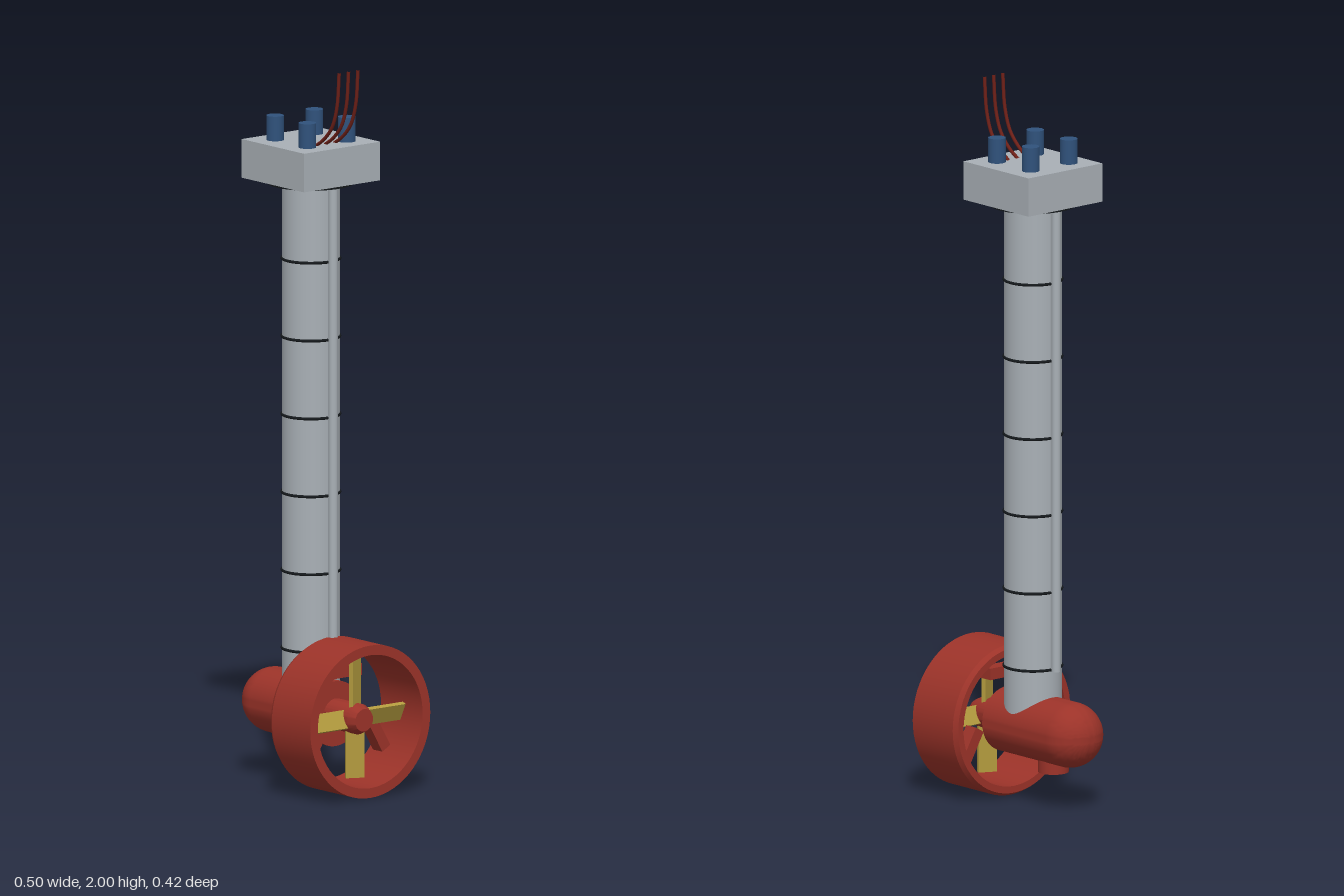
import * as THREE from 'three';
import { toCreasedNormals } from 'three/addons/utils/BufferGeometryUtils.js';

const mat = (name, color) => new THREE.MeshStandardMaterial({ name, color });

export function createModel() {
  const model = new THREE.Group();
  model.name = 'azimuthThruster';
  const red = mat('red paint', 0x9c3329);
  const grey = mat('grey steel', 0xa9b0b6);
  const blue = mat('blue bolts', 0x30527c);
  const black = mat('black seals', 0x15191c);
  const gold = mat('bronze', 0xb39b3e);
  const cableRed = mat('dark red cable', 0x6e2018);

  const CX = -0.006; // column axis
  const AY = 0.214; // propeller axis height

  const add = (name, geo, material, x = 0, y = 0, z = 0, parent = model) => {
    const m = new THREE.Mesh(geo, material);
    m.name = name;
    m.position.set(x, y, z);
    parent.add(m);
    return m;
  };
  const cyl = (r, h, n = 32) => new THREE.CylinderGeometry(r, r, h, n);
  // Surface of revolution about the x axis; points are [x, radius]
  const spin = (name, pts, material) => {
    const geo = new THREE.LatheGeometry(pts.map(([x, r]) => new THREE.Vector2(r, x)), 64);
    const m = add(name, toCreasedNormals(geo, 0.5), material, 0, AY, 0);
    m.rotation.z = -Math.PI / 2;
    return m;
  };

  // Column with seal bands
  add('column', cyl(0.079, 1.45, 48), grey, CX, 0.96);
  for (let i = 0; i < 6; i++) {
    const band = add('columnBand', new THREE.TorusGeometry(0.079, 0.004, 8, 48), black, CX, 0.382 + i * 0.2156);
    band.rotation.x = Math.PI / 2;
  }

  // Side pipes, each on a thin web
  for (const s of [-1, 1]) {
    add('sidePipe', cyl(0.013, 1.3, 16), grey, CX + s * 0.095, 1.03);
    add('pipeWeb', new THREE.BoxGeometry(0.02, 1.3, 0.01), grey, CX + s * 0.082, 1.03);
  }

  // Mounting head
  add('flange', cyl(0.118, 0.012, 48), black, CX, 1.674);
  add('topPlate', new THREE.BoxGeometry(0.267, 0.107, 0.267), grey, CX, 1.731);
  for (const sx of [-1, 1]) for (const sz of [-1, 1])
    add('bolt', cyl(0.024, 0.075, 24), blue, CX + sx * 0.069, 1.815, sz * 0.069);

  // Cables bending upwards
  for (const z of [-0.033, 0, 0.033]) {
    const path = new THREE.CatmullRomCurve3([
      [0.055, 1.783], [0.09, 1.806], [0.125, 1.845], [0.146, 1.905], [0.155, 2.0],
    ].map(([x, y]) => new THREE.Vector3(x, y, z)));
    add('cable', new THREE.TubeGeometry(path, 24, 0.0048, 8), cableRed);
  }

  // Pod with a round nose
  const pod = [];
  for (let i = 0; i <= 16; i++) {
    const a = (i / 16) * Math.PI / 2;
    pod.push([-0.159 - 0.09 * Math.cos(a), 0.09 * Math.sin(a)]);
  }
  pod.push([0.1, 0.09], [0.1, 0]);
  spin('pod', pod, red);
  add('drainBoss', cyl(0.042, 0.05, 32), red, -0.09, 0.124);

  // Nozzle ring, open through the middle
  spin('nozzle', [
    [0.084, 0.211], [0.248, 0.211], [0.248, 0.184], [0.07, 0.184], [0.07, 0.203], [0.084, 0.211],
  ], red);

  // Stays between pod and nozzle
  for (const deg of [90, 210, 330]) {
    const a = THREE.MathUtils.degToRad(deg);
    const stay = add('stay', new THREE.BoxGeometry(0.04, 0.032, 0.095), red,
      0.135, AY + 0.126 * Math.sin(a), 0.126 * Math.cos(a));
    stay.rotation.x = a - Math.PI / 2;
  }

  // Propeller
  spin('hub', [[0.09, 0], [0.09, 0.042], [0.2, 0.042], [0.222, 0.031], [0.222, 0]], red);
  for (let i = 0; i < 4; i++) {
    const arm = new THREE.Group();
    arm.name = 'bladeArm';
    arm.position.set(0.182, AY, 0);
    arm.rotation.x = i * Math.PI / 2;
    model.add(arm);
    const blade = add('blade', new THREE.BoxGeometry(0.012, 0.135, 0.052), gold, 0, 0.097, 0, arm);
    blade.rotation.y = 0.45;
  }
  return model;
}
